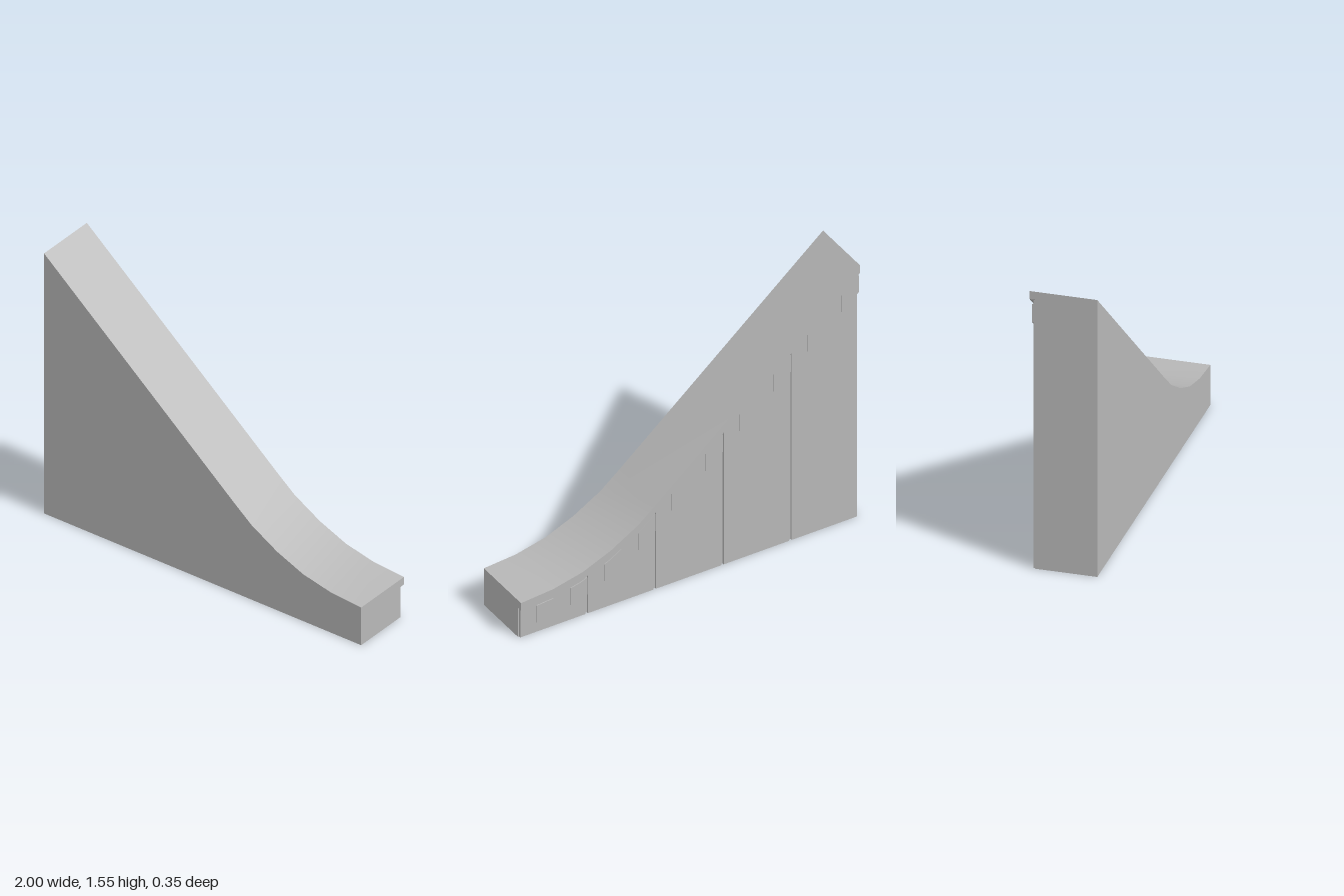
import * as THREE from 'three';
import { toCreasedNormals } from 'three/addons/utils/BufferGeometryUtils.js';

// Sloping top line: straight ramp easing into a shallow curve
const PROFILE = [[-1, 1.555], [0.2, 0.535], [0.31, 0.445], [0.47, 0.35], [0.635, 0.28], [0.81, 0.24], [1, 0.225]];
const HALF = 0.177;        // half thickness of the wall
const CAP = 0.045;         // height of the coping
const FACE = -0.159;       // back face of the wall panels
const CORE = -0.149;       // bottom of the grooves

function heightAt(x) {
  for (let i = 1; i < PROFILE.length; i++) {
    const [x0, y0] = PROFILE[i - 1], [x1, y1] = PROFILE[i];
    if (x <= x1 + 1e-6) return y0 + (y1 - y0) * (x - x0) / (x1 - x0);
  }
  return PROFILE[PROFILE.length - 1][1];
}

// Slab between x0 and x1 whose top follows the slope; the bottom follows it too, or is flat at y = 0
function slab(name, material, x0, x1, top, bottom, zBack, zFront) {
  const xs = [x0, ...PROFILE.map(p => p[0]).filter(x => x > x0 + 1e-4 && x < x1 - 1e-4), x1];
  const upper = xs.map(x => new THREE.Vector2(x, heightAt(x) - top));
  const lower = bottom === null
    ? [new THREE.Vector2(x0, 0), new THREE.Vector2(x1, 0)]
    : xs.map(x => new THREE.Vector2(x, heightAt(x) - bottom));
  const shape = new THREE.Shape([...lower, ...upper.reverse()]);
  const geometry = new THREE.ExtrudeGeometry(shape, { depth: zFront - zBack, bevelEnabled: false });
  geometry.translate(0, 0, zBack);
  const mesh = new THREE.Mesh(toCreasedNormals(geometry, 0.5), material);
  mesh.name = name;
  return mesh;
}

export function createModel() {
  const model = new THREE.Group();
  model.name = 'slopedWall';
  const stone = new THREE.MeshStandardMaterial({ color: 0xb8b8b8 });
  stone.name = 'grey stone';

  // Solid wall and the coping that overhangs its back
  model.add(slab('wallCore', stone, -1, 1, CAP, null, CORE, HALF));
  model.add(slab('coping', stone, -1, 1, 0, CAP, -HALF, HALF));

  // Back panels, separated by narrow vertical grooves
  const groove = 0.007;
  for (let i = 0; i < 5; i++) {
    const x = -1 + i * 0.4;
    model.add(slab('backPanel', stone, x + groove, x + 0.4 - groove, CAP, null, FACE, CORE));
  }

  // Row of raised blocks stepping along under the coping
  for (let i = 0; i < 10; i++) {
    const x = 0.8 - i * 0.2;
    model.add(slab('raisedBlock', stone, x, x + 0.1, 0.07, 0.173, FACE - 0.005, FACE + 0.004));
  }
  return model;
}
